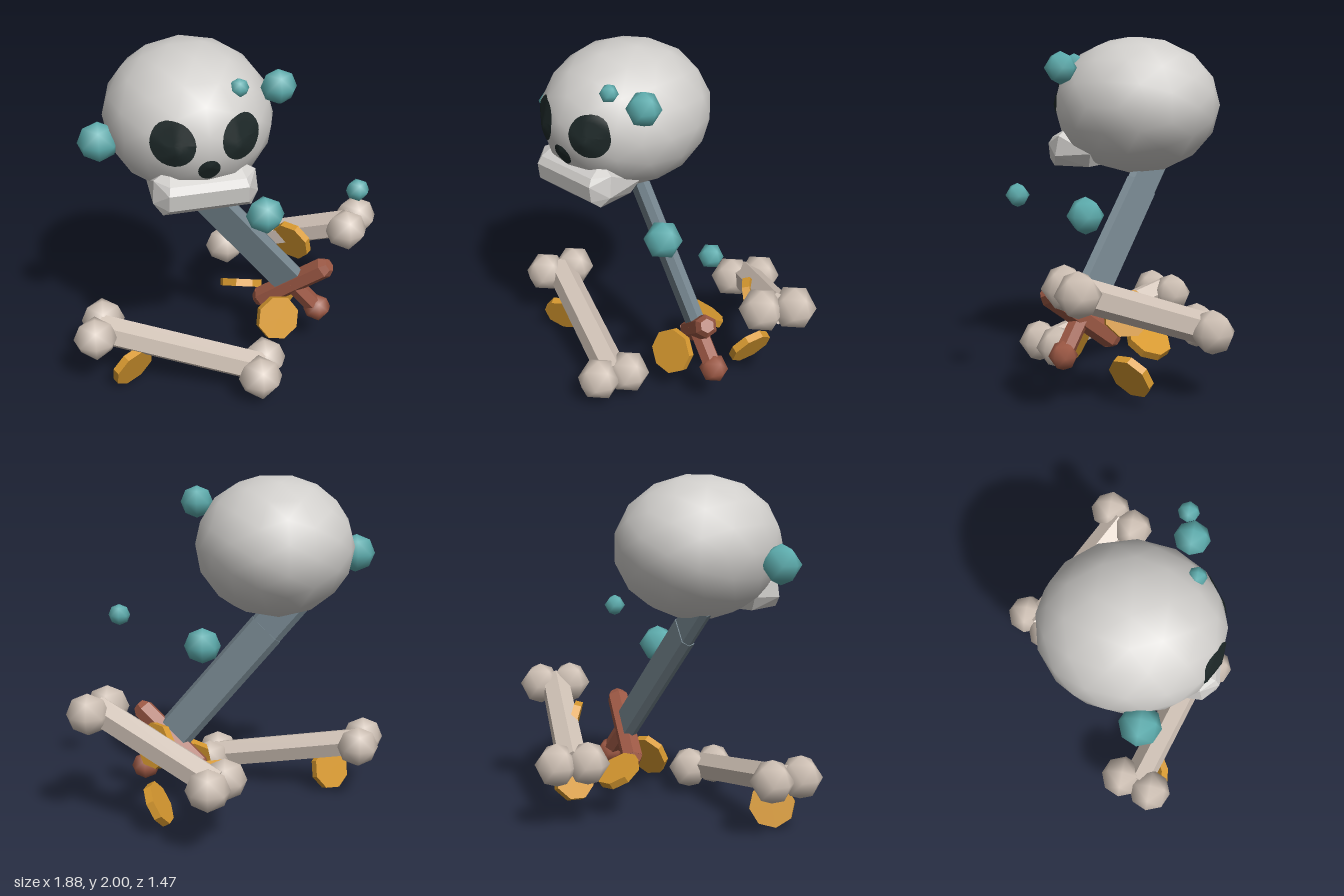
import * as THREE from 'three';
import { ConvexGeometry } from 'three/addons/geometries/ConvexGeometry.js';

const V = (x, y, z) => new THREE.Vector3(x, y, z);
const UP = V(0, 1, 0);

function material(name, color) {
  const m = new THREE.MeshStandardMaterial({ color });
  m.name = name;
  return m;
}

function add(parent, name, geometry, mat) {
  const mesh = new THREE.Mesh(geometry, mat);
  mesh.name = name;
  parent.add(mesh);
  return mesh;
}

function faceted(geometry) {
  const g = geometry.toNonIndexed();
  g.computeVertexNormals();
  return g;
}

// Low-poly ball
function ball(parent, name, p, r, mat) {
  add(parent, name, new THREE.OctahedronGeometry(r, 1), mat).position.copy(p);
}

// Six-sided bar between two points
function bar(parent, name, a, b, ra, rb, mat) {
  const d = b.clone().sub(a);
  const mesh = add(parent, name, faceted(new THREE.CylinderGeometry(rb, ra, d.length(), 6)), mat);
  mesh.position.copy(a).lerp(b, 0.5);
  mesh.quaternion.setFromUnitVectors(UP, d.normalize());
}

// Disc of triangles laid on the surface of a mesh, facing +z
function decal(parent, name, target, x, y, rx, ry, mat) {
  const g = new THREE.RingGeometry(0, 1, 24, 6);
  const ray = new THREE.Raycaster();
  const pos = g.attributes.position;
  for (let i = 0; i < pos.count; i++) {
    const px = x + pos.getX(i) * rx, py = y + pos.getY(i) * ry;
    ray.set(V(px, py, 2), V(0, 0, -1));
    const hit = ray.intersectObject(target)[0];
    pos.setXYZ(i, px, py, (hit ? hit.point.z : 0.4) + 0.008);
  }
  g.computeVertexNormals();
  add(parent, name, g, mat);
}

export function createModel() {
  const skullMat = material('skull grey', 0xd0cecb);
  const boneMat = material('bone beige', 0xcfc1b5);
  const darkMat = material('socket dark', 0x1d2828);
  const steelMat = material('steel', 0x72828b);
  const hiltMat = material('hilt brown', 0x9c5844);
  const goldMat = material('gold', 0xd6982f);
  const tealMat = material('teal', 0x5dadae);
  const model = new THREE.Group();
  model.name = 'skullPile';

  // Skull with sockets, nose and jaw, turned a little
  const skull = new THREE.Group();
  skull.name = 'skull';
  const cranium = new THREE.Mesh(new THREE.IcosahedronGeometry(1, 2).scale(0.457, 0.405, 0.5), skullMat);
  cranium.name = 'cranium';
  for (const s of [-1, 1]) decal(skull, 'eyeSocket', cranium, 0.176 * s, 0.04, 0.108, 0.12, darkMat);
  decal(skull, 'noseHole', cranium, 0, -0.105, 0.058, 0.06, darkMat);
  skull.add(cranium);
  const jaw = [];
  for (const s of [-1, 1]) {
    for (const [x, y, z] of [
      [0.18, -0.13, 0.36], [0.2, -0.19, 0.46], [0.21, -0.23, 0.485], [0.21, -0.32, 0.475],
      [0.235, -0.36, 0.43], [0.27, -0.18, 0.38], [0.28, -0.3, 0.4], [0.27, -0.28, 0.17], [0.23, -0.36, 0.2],
    ]) jaw.push(V(x * s, y, z));
  }
  add(skull, 'jaw', new ConvexGeometry(jaw), skullMat);
  skull.position.set(-0.245, 1.6, 0.12);
  skull.rotation.y = 0.12;
  model.add(skull);

  // Sword: the blade runs up into the skull
  const sword = new THREE.Group();
  sword.name = 'sword';
  const top = V(-0.2, 1.12, 0.06), axis = V(0.64, -0.77, 0.045).normalize();
  const along = t => top.clone().addScaledVector(axis, t);
  const wide = V(0.73, 0.58, 0.37).addScaledVector(axis, -V(0.73, 0.58, 0.37).dot(axis)).normalize();
  const basis = new THREE.Matrix4().makeBasis(wide, axis.clone().cross(wide), axis);
  function blade(name, start, length, w, t) {
    const section = new THREE.Shape([[w, 0], [w * 0.78, t], [-w * 0.78, t], [-w, 0], [-w * 0.78, -t], [w * 0.78, -t]]
      .map(([x, y]) => new THREE.Vector2(x, y)));
    const mesh = add(sword, name, new THREE.ExtrudeGeometry(section, { depth: length, bevelEnabled: false }), steelMat);
    mesh.quaternion.setFromRotationMatrix(basis);
    mesh.position.copy(along(start));
  }
  blade('blade', 0, 0.9, 0.112, 0.04);
  blade('bladeTip', -0.24, 0.25, 0.108, 0.034);
  const mid = along(0.885);
  const guardEnd = d => mid.clone().addScaledVector(wide, d);
  bar(sword, 'crossguard', guardEnd(-0.24), guardEnd(0.24), 0.066, 0.066, hiltMat);
  bar(sword, 'crossguardEnd', guardEnd(0.24), guardEnd(0.28), 0.066, 0.04, hiltMat);
  bar(sword, 'crossguardEnd', guardEnd(-0.24), guardEnd(-0.28), 0.066, 0.04, hiltMat);
  bar(sword, 'grip', along(0.86), along(1.13), 0.055, 0.055, hiltMat);
  ball(sword, 'pommel', along(1.13), 0.083, hiltMat);
  model.add(sword);

  // Two bones, each with a pair of knobs at both ends
  function bone(name, a1, a2, b1, b2) {
    const g = new THREE.Group();
    g.name = name;
    for (const p of [a1, a2, b1, b2]) ball(g, 'knob', p, 0.125, boneMat);
    bar(g, 'shaft', a1.clone().lerp(a2, 0.5), b1.clone().lerp(b2, 0.5), 0.09, 0.09, boneMat);
    model.add(g);
  }
  bone('frontBone', V(-0.82, 0.345, 0.36), V(-0.77, 0.345, 0.18), V(0.09, 0.16, 0.61), V(0.14, 0.16, 0.44));
  bone('backBone', V(0.04, 0.4, -0.46), V(0.13, 0.4, -0.61), V(0.72, 0.69, -0.05), V(0.815, 0.69, -0.205));

  // Coins: centre, then the direction each one faces
  const coins = [
    [V(-0.62, 0.13, 0.36), V(0.55, -0.32, 0.77)],
    [V(0.26, 0.265, 0.2), V(0.22, 0.35, 0.91)],
    [V(0.1, 0.28, -0.18), V(0.12, 0.82, -0.53)],
    [V(0.42, 0.17, -0.27), V(0.87, -0.47, 0.1)],
    [V(0.43, 0.52, -0.25), V(0.68, 0.25, -0.68)],
  ];
  for (const [p, n] of coins) {
    const coin = add(model, 'coin', faceted(new THREE.CylinderGeometry(0.132, 0.132, 0.045, 8).rotateY(Math.PI / 8)), goldMat);
    coin.position.copy(p);
    coin.quaternion.setFromUnitVectors(UP, n.normalize());
  }

  // Floating orbs
  for (const [x, y, z, r] of [
    [0.205, 1.82, 0.345, 0.095], [-0.01, 1.85, 0.405, 0.052], [-0.73, 1.53, 0.26, 0.112],
    [0.175, 0.98, 0.2, 0.11], [0.675, 1.15, 0.29, 0.065],
  ]) ball(model, 'orb', V(x, y, z), r, tealMat);

  return model;
}
